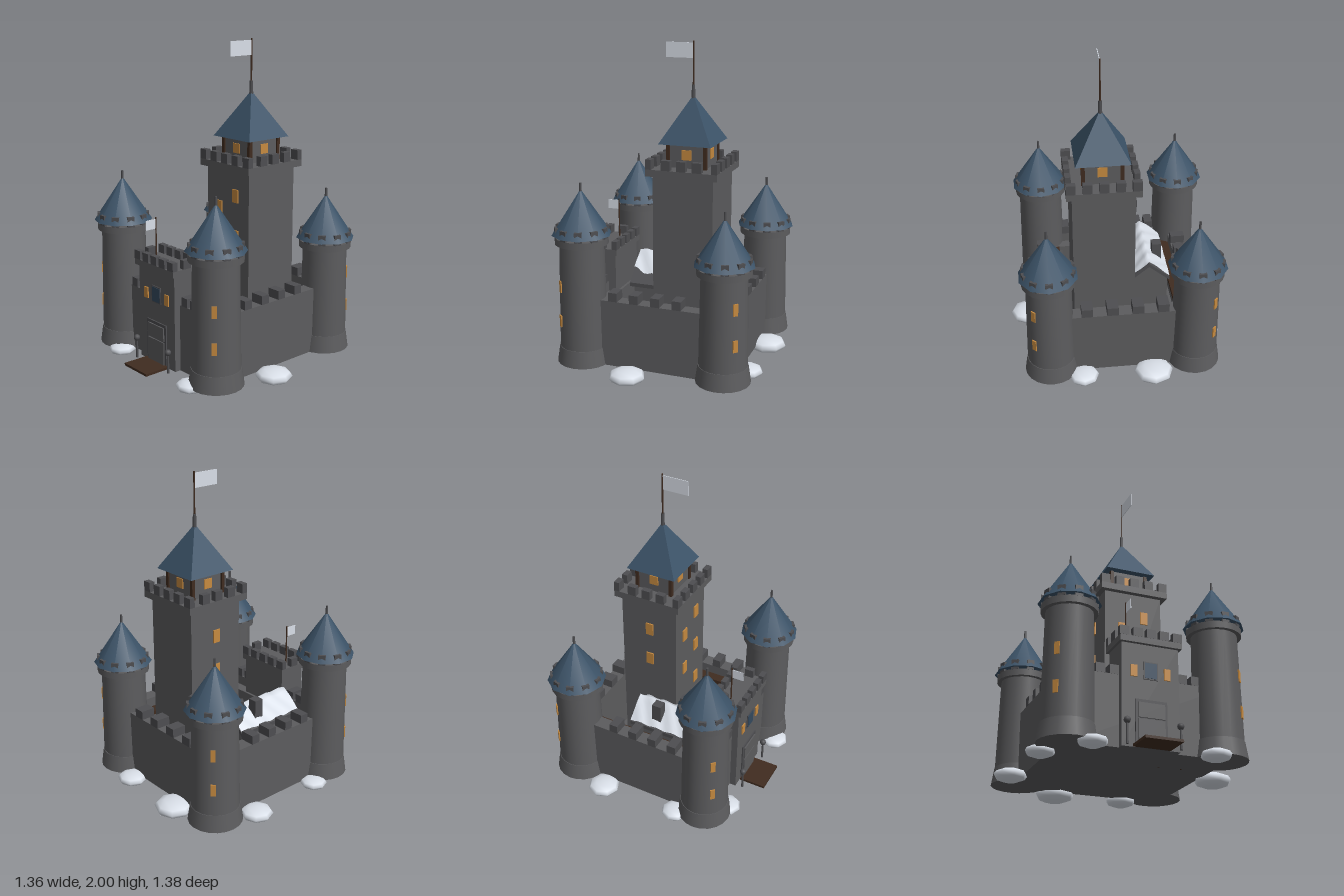
import * as THREE from 'three';

const mat = (name, color) => {
  const m = new THREE.MeshStandardMaterial({ color });
  m.name = name;
  return m;
};

export function createModel() {
  const root = new THREE.Group();
  root.name = 'castle';
  const stone = mat('stone', 0x5c5c5e);
  const trim = mat('dark stone', 0x4e4e51);
  const slate = mat('blue slate', 0x3c5368);
  const wood = mat('dark wood', 0x402c20);
  const glow = mat('lit window', 0xc68a40);
  const glass = mat('blue glass', 0x34495e);
  const snow = mat('snow', 0xdde3ec);
  snow.side = THREE.DoubleSide;

  const add = (name, geo, m, x = 0, y = 0, z = 0, parent = root) => {
    const mesh = new THREE.Mesh(geo, m);
    mesh.name = name;
    mesh.position.set(x, y, z);
    parent.add(mesh);
    return mesh;
  };
  // Box from its extents along each axis
  const block = (name, m, x0, x1, y0, y1, z0, z1, parent = root) =>
    add(name, new THREE.BoxGeometry(x1 - x0, y1 - y0, z1 - z0), m,
      (x0 + x1) / 2, (y0 + y1) / 2, (z0 + z1) / 2, parent);
  const cyl = (name, m, rTop, rBot, y0, y1, x, z, seg = 16, parent = root) =>
    add(name, new THREE.CylinderGeometry(rTop, rBot, y1 - y0, seg), m, x, (y0 + y1) / 2, z, parent);
  const flat = (geo) => {
    const g = geo.toNonIndexed();
    g.computeVertexNormals();
    return g;
  };

  // Floor and curtain walls
  const G = 0.055, WALL = 0.472, TOP = 0.527;
  block('courtyardFloor', stone, -0.5, 0.466, G, 0.07, -0.51, 0.465);
  block('leftSideWall', stone, 0.39, 0.476, G, WALL, -0.47, 0.43);
  block('rightSideWall', stone, -0.51, -0.42, G, WALL, -0.47, 0.43);
  block('backWall', stone, -0.47, 0.44, G, WALL, -0.52, -0.43);
  block('frontWall', stone, -0.47, 0.44, G, WALL, 0.385, 0.475);
  block('frontWallWalk', stone, -0.42, 0.39, 0.38, 0.41, 0.32, 0.39);
  block('leftWalkway', wood, 0.325, 0.392, 0.385, 0.41, -0.43, 0.385);
  block('rightWalkway', wood, -0.422, -0.355, 0.385, 0.41, -0.43, 0.385);
  for (let i = 0; i < 4; i++) {
    const z = 0.217 - i * 0.136;
    block('wallMerlon', trim, 0.39, 0.477, WALL, TOP, z - 0.028, z + 0.028);
    block('wallMerlon', trim, -0.511, -0.42, WALL, TOP, z - 0.028, z + 0.028);
  }
  for (let i = 0; i < 5; i++) {
    const x = -0.26 + i * 0.156 - 0.035;
    block('wallMerlon', trim, x, x + 0.07, WALL, TOP, -0.521, -0.43);
  }
  for (const x of [-0.295, -0.215, 0.2, 0.28])
    block('wallMerlon', trim, x - 0.027, x + 0.027, WALL, TOP, 0.385, 0.476);

  // Round corner towers
  const tower = (name, x, z, h, roofH) => {
    const t = new THREE.Group();
    t.name = name;
    t.position.set(x, 0, z);
    root.add(t);
    cyl('towerBase', stone, 0.15, 0.166, G, 0.16, 0, 0, 20, t);
    cyl('towerBody', stone, 0.137, 0.147, 0.15, h, 0, 0, 20, t);
    cyl('towerRing', stone, 0.163, 0.163, h, h + 0.042, 0, 0, 20, t);
    for (let i = 0; i < 10; i++) {
      const a = (i * Math.PI) / 5;
      const m = add('towerMerlon', new THREE.BoxGeometry(0.045, 0.065, 0.02), trim,
        Math.sin(a) * 0.152, h + 0.072, Math.cos(a) * 0.152, t);
      m.rotation.y = a;
    }
    add('towerRoof', new THREE.ConeGeometry(0.182, roofH, 10), slate, 0, h + 0.056 + roofH / 2, 0, t);
    cyl('roofSpike', trim, 0.007, 0.009, h + roofH, h + roofH + 0.095, 0, 0, 8, t);
    // Slit windows on the outward diagonal
    const a = Math.atan2(Math.sign(x), Math.sign(z));
    for (const [y, r] of [[0.548, 0.141], [0.328, 0.145]]) {
      const w = add('slitWindow', new THREE.BoxGeometry(0.03, 0.072, 0.009), glow,
        Math.sin(a) * r, y, Math.cos(a) * r, t);
      w.rotation.y = a;
    }
  };
  tower('frontRightTower', -0.466, 0.43, 0.81, 0.275);
  tower('frontLeftTower', 0.434, 0.43, 0.81, 0.275);
  tower('backRightTower', -0.466, -0.47, 0.718, 0.275);
  tower('backLeftTower', 0.434, -0.47, 0.718, 0.275);

  // Merlons around a rectangle: nx per front side, nz per flank, corners shared
  const battlements = (name, cx, cz, hx, hz, y0, y1, nx, nz, w, d) => {
    const put = (x, z, sx, sz) => block(name, trim, cx + x - sx / 2, cx + x + sx / 2, y0, y1,
      cz + z - sz / 2, cz + z + sz / 2);
    for (const s of [-1, 1]) {
      for (let i = 0; i < nx; i++)
        put(-hx + w / 2 + (i * (2 * hx - w)) / (nx - 1), s * (hz - d / 2), w, d);
      for (let i = 1; i < nz - 1; i++)
        put(s * (hx - d / 2), -hz + w / 2 + (i * (2 * hz - w)) / (nz - 1), d, w);
    }
  };

  // Square keep
  const kx = 0.085, kz = -0.155;
  block('keepBody', stone, kx - 0.188, kx + 0.188, G, 1.225, kz - 0.188, kz + 0.188);
  block('keepParapet', stone, kx - 0.222, kx + 0.222, 1.22, 1.262, kz - 0.222, kz + 0.222);
  battlements('keepMerlon', kx, kz, 0.222, 0.222, 1.262, 1.322, 5, 5, 0.056, 0.036);
  for (const [x, y] of [[0.01, 0.972], [0.01, 0.715], [0.157, 1.065], [0.157, 0.808], [0.157, 0.545]])
    block('keepWindow', glow, x - 0.025, x + 0.025, y - 0.041, y + 0.041, kz + 0.187, kz + 0.196);
  for (const y of [1.025, 0.8])
    block('keepWindow', glow, kx - 0.196, kx - 0.187, y - 0.041, y + 0.041, kz - 0.02, kz + 0.03);

  // Lookout room with corner posts and pyramid roof
  block('lookoutRoom', stone, kx - 0.116, kx + 0.116, 1.26, 1.41, kz - 0.116, kz + 0.116);
  for (const sx of [-1, 1]) for (const sz of [-1, 1]) {
    const x = kx + sx * 0.115, z = kz + sz * 0.115;
    block('lookoutPost', wood, x - 0.011, x + 0.011, 1.26, 1.41, z - 0.011, z + 0.011);
  }
  for (let i = 0; i < 4; i++) {
    const a = (i * Math.PI) / 2;
    const w = add('lookoutWindow', new THREE.BoxGeometry(0.058, 0.06, 0.009), glow,
      kx + Math.sin(a) * 0.118, 1.342, kz + Math.cos(a) * 0.118);
    w.rotation.y = a;
  }
  const pyramid = new THREE.ConeGeometry(0.163 * Math.SQRT2, 0.28, 4);
  pyramid.rotateY(Math.PI / 4);
  add('keepRoof', flat(pyramid), slate, kx, 1.545, kz);
  cyl('keepFinial', trim, 0.01, 0.013, 1.65, 1.745, kx, kz, 8);
  cyl('keepFlagPole', wood, 0.005, 0.005, 1.73, 2, kx, kz, 8);
  block('keepFlag', snow, kx - 0.002, kx + 0.002, 1.9, 1.99, kz + 0.004, 0.018);

  // Gatehouse
  const gx = -0.016, face = 0.515;
  block('gatehouseBody', stone, gx - 0.172, gx + 0.172, G, 0.66, 0.335, face);
  block('gatehouseParapet', stone, gx - 0.188, gx + 0.188, 0.655, 0.692, 0.32, 0.537);
  battlements('gatehouseMerlon', gx, 0.4285, 0.189, 0.109, 0.692, 0.746, 5, 3, 0.056, 0.034);
  for (const x of [-0.1, 0.1])
    block('gatehouseWindow', glow, gx + x - 0.019, gx + x + 0.019, 0.457, 0.525, face, face + 0.008);
  block('centreWindowFrame', trim, gx - 0.043, gx + 0.043, 0.448, 0.552, face, face + 0.006);
  block('centreWindow', glass, gx - 0.036, gx + 0.036, 0.455, 0.545, face, face + 0.009);
  block('gateFrame', trim, gx - 0.094, gx + 0.094, G, 0.327, face, face + 0.008);
  block('gateUpperPanel', stone, gx - 0.078, gx + 0.078, 0.222, 0.308, face, face + 0.016);
  block('gateLowerPanel', stone, gx - 0.078, gx + 0.078, 0.07, 0.214, face, face + 0.016);
  block('drawbridge', wood, -0.125, 0.094, G, 0.07, 0.52, 0.687);
  for (const x of [-0.173, 0.14]) {
    cyl('lampPost', trim, 0.006, 0.008, G, 0.18, x, 0.557, 8);
    add('lampHead', new THREE.SphereGeometry(0.02, 10, 8), trim, x, 0.187, 0.557);
  }
  cyl('gatehouseFlagPole', wood, 0.004, 0.005, 0.69, 0.945, -0.126, 0.43, 8);
  block('gatehouseFlag', snow, -0.128, -0.124, 0.875, 0.935, 0.434, 0.505);

  // Hall with a gabled roof under snow
  const ridgeX = -0.222, ridgeY = 0.572, slope = 0.84;
  const roofY = (x) => ridgeY - slope * Math.abs(x - ridgeX);
  const gable = (x0, x1, drop, depth, bottom) => {
    const pts = [[x0, bottom ?? roofY(x0) - drop - 0.025], [x1, bottom ?? roofY(x1) - drop - 0.025],
      [x1, roofY(x1) - drop], [ridgeX, ridgeY - drop], [x0, roofY(x0) - drop]];
    if (bottom === undefined) pts.splice(1, 0, [ridgeX, ridgeY - drop - 0.025]);
    return new THREE.ExtrudeGeometry(new THREE.Shape(pts.map((p) => new THREE.Vector2(...p))),
      { depth, bevelEnabled: false });
  };
  add('hallWalls', gable(-0.345, -0.06, 0.02, 0.44, G), stone, 0, 0, -0.14);
  add('hallRoof', gable(-0.355, -0.03, 0, 0.48), trim, 0, 0, -0.16);
  const blanket = new THREE.PlaneGeometry(1, 0.48, 10, 18);
  blanket.rotateX(-Math.PI / 2);
  const p = blanket.attributes.position;
  for (let i = 0; i < p.count; i++) {
    const u = p.getX(i) + 0.5, z = p.getZ(i);
    const edge = -0.09 + 0.018 * Math.sin(z * 13 + 1) + 0.007 * Math.sin(z * 47);
    const x = u < 0.5 ? -0.355 + u * 2 * (ridgeX + 0.355) : ridgeX + (u - 0.5) * 2 * (edge - ridgeX);
    p.setXYZ(i, x, roofY(x) + 0.014 + 0.005 * Math.sin(z * 55 + x * 40), z);
  }
  blanket.computeVertexNormals();
  add('roofSnow', blanket, snow, 0, 0, 0.08);
  block('chimney', trim, -0.32, -0.26, 0.42, 0.62, -0.02, 0.04);

  // Courtyard well, barrels and ladder
  cyl('wellWall', stone, 0.08, 0.085, G, 0.14, 0.225, 0.222, 6);
  for (const x of [0.155, 0.295]) cyl('wellPost', wood, 0.008, 0.008, G, 0.25, x, 0.222, 6);
  block('wellRoof', trim, 0.142, 0.308, 0.245, 0.265, 0.178, 0.265);
  for (const [x, z] of [[0.06, 0.3], [0.13, 0.315]]) {
    const profile = [[0, 0], [0.026, 0], [0.033, 0.04], [0.026, 0.08], [0, 0.08]];
    add('barrel', new THREE.LatheGeometry(profile.map((q) => new THREE.Vector2(...q)), 12), wood, x, 0.07, z);
  }
  for (const z of [-0.2, -0.14]) block('ladderRail', wood, 0.31, 0.32, 0.07, 0.43, z - 0.005, z + 0.005);
  for (let y = 0.12; y < 0.42; y += 0.06)
    block('ladderRung', wood, 0.311, 0.319, y, y + 0.01, -0.2, -0.14);

  // Snow drifts around the foot
  for (const [x, z, r] of [[-0.2, -0.57, 0.122], [0.24, -0.565, 0.095], [-0.58, -0.24, 0.1],
    [0.565, 0.09, 0.112], [-0.56, 0.27, 0.085], [-0.36, 0.54, 0.085], [0.35, 0.555, 0.09]]) {
    const drift = add('snowDrift', new THREE.SphereGeometry(r, 8, 6), snow, x, 0.05, z);
    drift.scale.y = 0.4;
  }
  return root;
}
